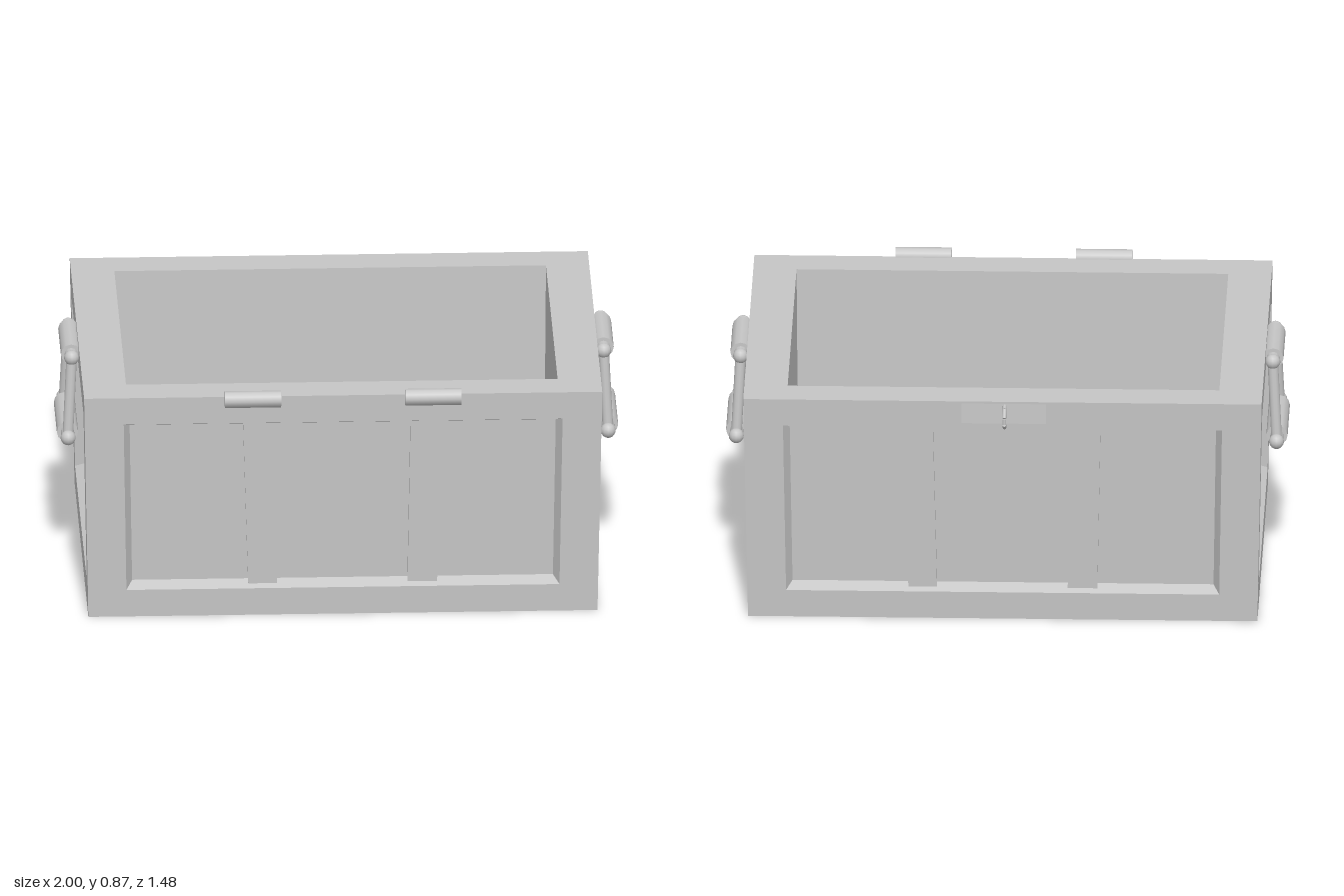
import * as THREE from 'three';

const H = 0.843;
const metal = new THREE.MeshStandardMaterial({ color: 0xc6c6c6 });
metal.name = 'grey metal';

const V = (x, y, z) => new THREE.Vector3(x, y, z);

// Flat-shaded surface from a list of four-cornered faces
function quadMesh(name, quads) {
  const pos = [];
  for (const [a, b, c, d] of quads) for (const p of [a, b, c, a, c, d]) pos.push(p.x, p.y, p.z);
  const geo = new THREE.BufferGeometry();
  geo.setAttribute('position', new THREE.Float32BufferAttribute(pos, 3));
  geo.computeVertexNormals();
  const mesh = new THREE.Mesh(geo, metal);
  mesh.name = name;
  return mesh;
}

// Faces joining two four-point rings
const strip = (A, B) => A.map((a, i) => [a, A[(i + 1) % 4], B[(i + 1) % 4], B[i]]);

// Point on a wall at fractions u, v and a given depth behind it
function onWall(c, u, v, depth) {
  const bottom = c[0].clone().lerp(c[1], u), top = c[3].clone().lerp(c[2], u);
  const n = c[1].clone().sub(c[0]).cross(c[3].clone().sub(c[0])).normalize();
  return bottom.lerp(top, v).addScaledVector(n, -depth);
}

// Ring set in from a wall's edges by distances mu and mv
function ring(c, mu, mv, depth) {
  const u = mu / c[0].distanceTo(c[1]), v = mv / c[0].distanceTo(c[3]);
  return [[u, v], [1 - u, v], [1 - u, 1 - v], [u, 1 - v]].map(([s, t]) => onWall(c, s, t, depth));
}

// Frame with a sunken panel
function sunkenPanel(name, c, mu, mv, du, dv, depth) {
  const outer = ring(c, mu, mv, 0), inner = ring(c, mu + du, mv + dv, depth);
  return quadMesh(name, [...strip(c, outer), ...strip(outer, inner), inner]);
}

// Upright rib, given its left and right fractions at bottom and top
function rib(c, [b0, b1, t0, t1]) {
  const at = d => [onWall(c, b0, 0.125, d), onWall(c, b1, 0.125, d), onWall(c, t1, 0.874, d), onWall(c, t0, 0.874, d)];
  const front = at(0.022);
  return quadMesh('rib', [...strip(at(0.05), front), front]);
}

// Round bar between two points
function bar(name, a, b, r, sides = 12) {
  const dir = b.clone().sub(a);
  const mesh = new THREE.Mesh(new THREE.CylinderGeometry(r, r, dir.length(), sides), metal);
  mesh.name = name;
  mesh.position.copy(a).add(b).multiplyScalar(0.5);
  mesh.quaternion.setFromUnitVectors(V(0, 1, 0), dir.normalize());
  return mesh;
}

function ball(p, r) {
  const mesh = new THREE.Mesh(new THREE.SphereGeometry(r, 12, 8), metal);
  mesh.name = 'handleKnob';
  mesh.position.copy(p);
  return mesh;
}

function handle(side) {
  const g = new THREE.Group();
  g.name = side > 0 ? 'leftHandle' : 'rightHandle';
  const P = (x, y, z) => V(side * x, y, z + 0.007);
  // Mounting bar above and grip below, each with a thicker sleeve
  const rows = [
    { x: 0.947, y: 0.795, end: 0.158, sleeve: 0.125, r: 0.037 },
    { x: 0.961, y: 0.507, end: 0.203, sleeve: 0.145, r: 0.038 },
  ];
  for (const { x, y, end, sleeve, r } of rows) {
    g.add(bar('handleBar', P(x, y, -end), P(x, y, end), 0.024));
    g.add(bar('handleSleeve', P(x, y, -sleeve), P(x, y, sleeve), r));
    for (const s of [-1, 1]) g.add(ball(P(x, y, s * end), 0.027));
  }
  for (const s of [-1, 1]) {
    g.add(bar('handleArm', P(0.947, 0.79, s * 0.155), P(0.961, 0.507, s * 0.182), 0.019));
  }
  return g;
}

export function createModel() {
  const model = new THREE.Group();
  model.name = 'openChest';

  // Corners of the tapered body
  const bot = [V(-0.906, 0, 0.665), V(0.906, 0, 0.665), V(0.906, 0, -0.65), V(-0.906, 0, -0.65)];
  const top = [V(-0.922, H, 0.69), V(0.922, H, 0.69), V(0.922, H, -0.68), V(-0.922, H, -0.68)];

  // Four walls with sunken panels, ribbed at front and back
  ['frontWall', 'leftWall', 'backWall', 'rightWall'].forEach((name, i) => {
    const j = (i + 1) % 4, c = [bot[i], bot[j], top[j], top[i]];
    model.add(sunkenPanel(name, c, i % 2 ? 0.106 : 0.137, 0.102, 0.022, 0.02, 0.045));
    if (i % 2 === 0) {
      model.add(rib(c, [0.315, 0.371, 0.307, 0.365]), rib(c, [0.627, 0.685, 0.631, 0.689]));
    }
  });

  // Underside panel, and the rim with its deep interior
  model.add(sunkenPanel('underside', [...bot].reverse(), 0.135, 0.11, 0.022, 0.022, 0.045));
  model.add(sunkenPanel('rimAndInterior', top, 0.154, 0.132, 0.006, 0.02, 0.7));

  // Hinge barrels on the front edge
  for (const x of [-0.322, 0.32]) {
    model.add(bar('hingeBarrel', V(x - 0.1, H - 0.003, 0.709), V(x + 0.1, H - 0.003, 0.709), 0.03, 10));
  }

  // Latch plate, almost flush with the back, and its angular loop
  const plate = new THREE.Mesh(new THREE.BoxGeometry(0.3, 0.075, 0.008), metal);
  plate.name = 'latchPlate';
  plate.position.set(-0.005, 0.798, -0.677);
  plate.rotation.x = 0.035;
  model.add(plate);
  const loop = [[0.828, -0.67], [0.822, -0.703], [0.799, -0.733], [0.776, -0.733], [0.757, -0.711], [0.753, -0.67]];
  const points = loop.map(([y, z]) => V(-0.008, y, z));
  for (let i = 1; i < points.length; i++) model.add(bar('latchLoop', points[i - 1], points[i], 0.007, 8));

  model.add(handle(1), handle(-1));
  return model;
}
